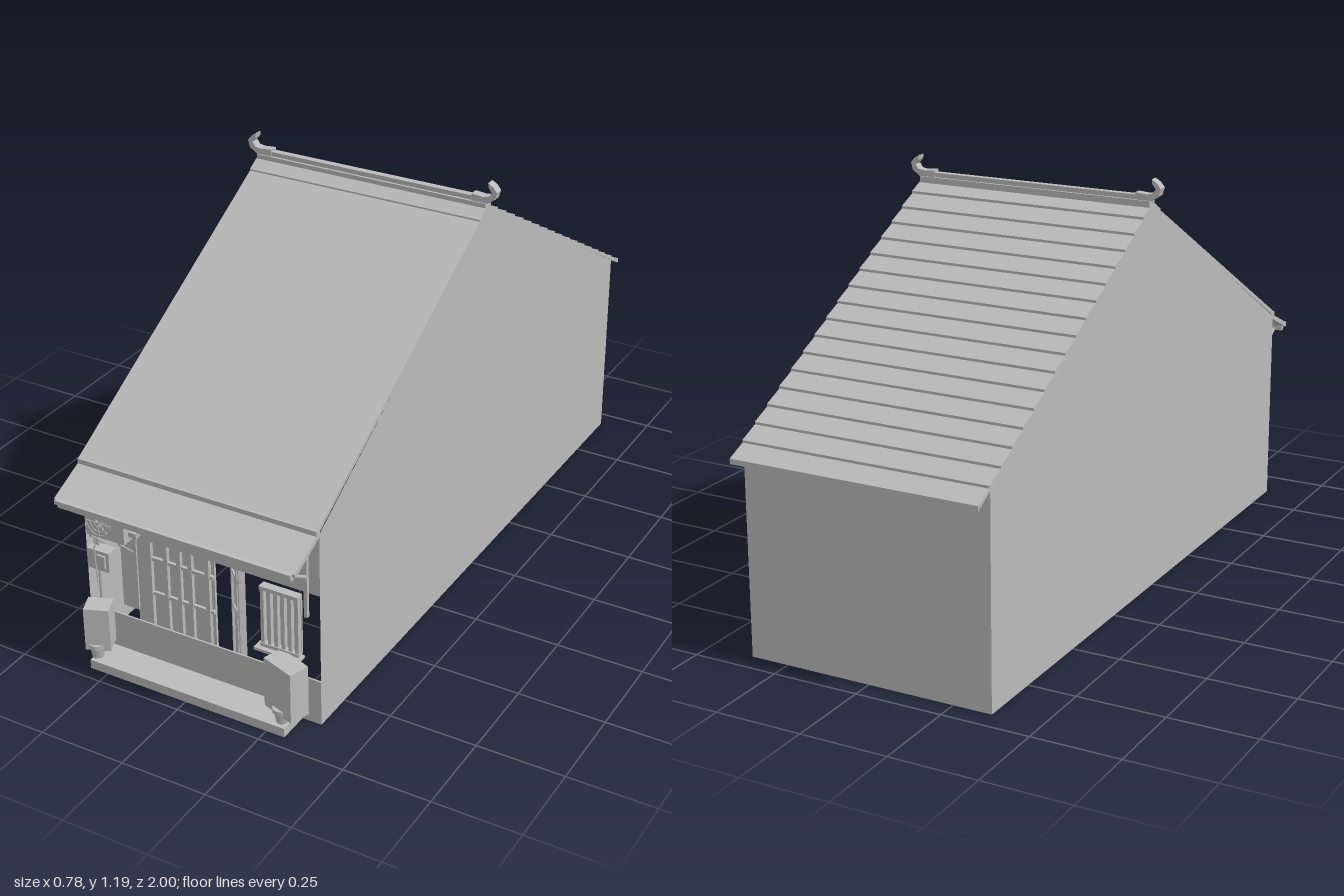
import * as THREE from 'three';

export function createModel() {
  const root = new THREE.Group();
  const gray = new THREE.MeshStandardMaterial({ color: 0xbbbbbb, side: THREE.DoubleSide });
  gray.name = 'plain gray';

  const add = (name, geo, parent = root) => {
    const m = new THREE.Mesh(geo, gray);
    m.name = name;
    parent.add(m);
    return m;
  };
  // box given by its limits on each axis
  const box = (name, x0, x1, y0, y1, z0, z1, parent) => {
    const m = add(name, new THREE.BoxGeometry(x1 - x0, y1 - y0, z1 - z0), parent);
    m.position.set((x0 + x1) / 2, (y0 + y1) / 2, (z0 + z1) / 2);
    return m;
  };
  // sloping slab: a [z, y] outline drawn across the house width
  const slab = (name, pts, w) => {
    const s = new THREE.Shape(pts.map(([z, y]) => new THREE.Vector2(-z, y)));
    const g = new THREE.ExtrudeGeometry(s, { depth: 2 * w, bevelEnabled: false });
    g.translate(0, 0, -w).rotateY(Math.PI / 2);
    return add(name, g);
  };
  const pipe = (name, pts, r, parent) => {
    const path = new THREE.CurvePath();
    const v = pts.map((p) => new THREE.Vector3(...p));
    for (let i = 1; i < v.length; i++) path.add(new THREE.LineCurve3(v[i - 1], v[i]));
    return add(name, new THREE.TubeGeometry(path, (v.length - 1) * 4, r, 6), parent);
  };

  const W = 0.362, F = 0.87, B = -0.94;

  // gabled side walls, back wall and open front
  const gable = new THREE.Shape([[-F, 0], [-B, 0], [-B, 0.59], [0.04, 1.115], [-F, 0.585]]
    .map((p) => new THREE.Vector2(...p)));
  for (const s of [-1, 1]) {
    const m = add(s > 0 ? 'leftWall' : 'rightWall', new THREE.ShapeGeometry(gable));
    m.rotation.y = Math.PI / 2;
    m.position.x = s * W;
  }
  const back = add('backWall', new THREE.PlaneGeometry(2 * W, 0.59));
  back.rotation.y = Math.PI;
  back.position.set(0, 0.295, B);
  box('lowerFrontWall', -W, W, 0, 0.135, F - 0.005, F);
  box('upperFrontWall', -W, W, 0.4, 0.585, F - 0.005, F);
  box('frontWallPier', -0.25, -0.2, 0.17, 0.4, F - 0.005, F);

  // smooth front roof with a cap strip at the ridge
  slab('frontRoof', [[-0.04, 1.11], [-0.04, 1.122], [0.88, 0.597], [0.88, 0.583]], W);
  slab('ridgeStrip', [[-0.04, 1.118], [-0.04, 1.127], [0.012, 1.097], [0.012, 1.088]], W);

  // back roof in overlapping courses
  const rows = 17;
  const roofY = (z) => 1.12 + (z + 0.04) * 0.578;
  for (let i = 0; i < rows; i++) {
    const z0 = -0.04 - (0.96 * i) / rows, z1 = -0.04 - (0.96 * (i + 1)) / rows;
    slab('backRoofCourse', [[z0, roofY(z0) - 0.009], [z0, roofY(z0)],
      [z1, roofY(z1) + 0.007], [z1, roofY(z1) - 0.008]], W);
  }

  // ridge bar and upturned end ornaments
  box('ridgeBase', -0.36, 0.36, 1.11, 1.13, -0.057, -0.023);
  box('ridgeBar', -0.345, 0.345, 1.13, 1.143, -0.05, -0.03);
  const horn = new THREE.Shape([[0.315, 1.128], [0.36, 1.128], [0.385, 1.145], [0.391, 1.166],
    [0.38, 1.18], [0.364, 1.19], [0.366, 1.176], [0.376, 1.163], [0.367, 1.15], [0.35, 1.147],
    [0.315, 1.15]].map((p) => new THREE.Vector2(...p)));
  for (const s of [-1, 1]) {
    const g = new THREE.ExtrudeGeometry(horn, { depth: 0.026, bevelEnabled: false });
    g.translate(0, 0, -0.053);
    if (s < 0) g.rotateY(Math.PI).translate(0, 0, -0.08);
    add('ridgeOrnament', g);
  }

  // front awning with its gutter and struts
  slab('awning', [[0.865, 0.578], [0.865, 0.592], [0.99, 0.535], [0.985, 0.522]], W);
  slab('awningFlashing', [[0.865, 0.59], [0.865, 0.6], [0.882, 0.598], [0.882, 0.584]], W);
  box('awningRail', -0.352, 0.352, 0.51, 0.527, 0.975, 0.99);
  box('awningEdge', -0.355, 0.355, 0.525, 0.536, 0.984, 1.0);
  for (const s of [-1, 1]) {
    const x = s * 0.325;
    pipe('awningStrut', [[x, 0.515, 0.98], [x, 0.45, 0.875]], 0.005);
    box('strutPost', x - 0.005, x + 0.005, 0.33, 0.56, F, 0.88);
  }

  // recessed sliding doors with raised frames
  const doors = new THREE.Group();
  doors.name = 'doors';
  root.add(doors);
  box('doorPanel', -0.25, 0.0, 0.03, 0.4, 0.795, 0.803, doors);
  for (const x of [-0.2, -0.148, -0.106, -0.07, -0.016])
    box('doorStile', x - 0.006, x + 0.006, 0.03, 0.4, 0.8, 0.815, doors);
  for (const y of [0.19, 0.3])
    box('doorRail', -0.2, 0, y - 0.005, y + 0.005, 0.8, 0.812, doors);
  const leaf = new THREE.Group();
  leaf.name = 'openDoorLeaf';
  leaf.position.set(0.02, 0, 0.74);
  leaf.rotation.y = -0.75;
  doors.add(leaf);
  box('leafPanel', 0, 0.09, 0.03, 0.4, -0.004, 0.004, leaf);
  for (const x of [0.006, 0.06, 0.084])
    box('leafStile', x - 0.005, x + 0.005, 0.03, 0.4, -0.008, 0.01, leaf);
  for (const y of [0.19, 0.3])
    box('leafRail', 0, 0.09, y - 0.005, y + 0.005, -0.007, 0.009, leaf);

  // barred window and sill
  box('windowBack', 0.19, 0.305, 0.205, 0.385, 0.862, 0.868);
  for (const [y0, y1] of [[0.2, 0.21], [0.374, 0.385]])
    box('windowFrame', 0.19, 0.305, y0, y1, 0.866, 0.885);
  for (let i = 0; i < 6; i++) {
    const x = 0.196 + i * 0.0205;
    box('windowBar', x - 0.005, x + 0.005, 0.205, 0.385, 0.866, 0.882);
  }
  box('windowSill', 0.175, 0.31, 0.189, 0.197, 0.862, 0.895);

  // cooling unit with fan grille, brackets and pipe
  box('coolingUnit', -0.312, -0.192, 0.41, 0.5, 0.882, 0.93);
  for (const r of [0.038, 0.026, 0.014]) {
    const ring = add('fanRing', new THREE.TorusGeometry(r, 0.0018, 4, 24));
    ring.position.set(-0.27, 0.455, 0.932);
  }
  for (let i = 0; i < 4; i++) {
    const bar = add('fanSpoke', new THREE.BoxGeometry(0.076, 0.002, 0.003));
    bar.position.set(-0.27, 0.455, 0.932);
    bar.rotation.z = (i * Math.PI) / 4;
  }
  for (const x of [-0.3, -0.208]) {
    box('unitBracket', x - 0.004, x + 0.004, 0.402, 0.41, F, 0.93);
    pipe('unitBrace', [[x, 0.404, 0.925], [x, 0.352, 0.873]], 0.003);
  }
  box('pipeCover', -0.192, -0.168, 0.425, 0.44, 0.89, 0.91);
  pipe('coolantPipe', [[-0.18, 0.433, 0.9], [-0.168, 0.433, 0.9], [-0.166, 0.487, 0.9]], 0.004);

  // meter box and wiring
  box('meterBox', -0.335, -0.265, 0.285, 0.345, F, 0.905);
  box('meterLid', -0.3, -0.275, 0.295, 0.335, 0.905, 0.911);
  pipe('drainPipe', [[-0.315, 0.05, 0.88], [-0.315, 0.51, 0.88]], 0.005);
  pipe('meterWire', [[-0.3, 0.41, 0.91], [-0.305, 0.34, 0.912], [-0.3, 0.25, 0.912]], 0.002);

  // front step, pots and turned planter boxes
  box('frontStep', -0.305, 0.305, 0, 0.027, F, 0.962);
  for (const [x, w, h, turn] of [[-0.298, 0.07, 0.185, 0.38], [0.288, 0.105, 0.205, -0.33]]) {
    const p = add('planterBox', new THREE.BoxGeometry(w, h - 0.055, 0.06));
    p.position.set(x, (h + 0.055) / 2, 0.92);
    p.rotation.y = turn;
    const px = Math.sign(x) * (x < 0 ? 0.298 : 0.283);
    const pot = add('pot', new THREE.CylinderGeometry(0.022, 0.016, 0.036, 10));
    pot.position.set(px, 0.045, 0.935);
    const rim = add('potRim', new THREE.CylinderGeometry(0.026, 0.026, 0.012, 10));
    rim.position.set(px, 0.066, 0.935);
  }
  return root;
}
